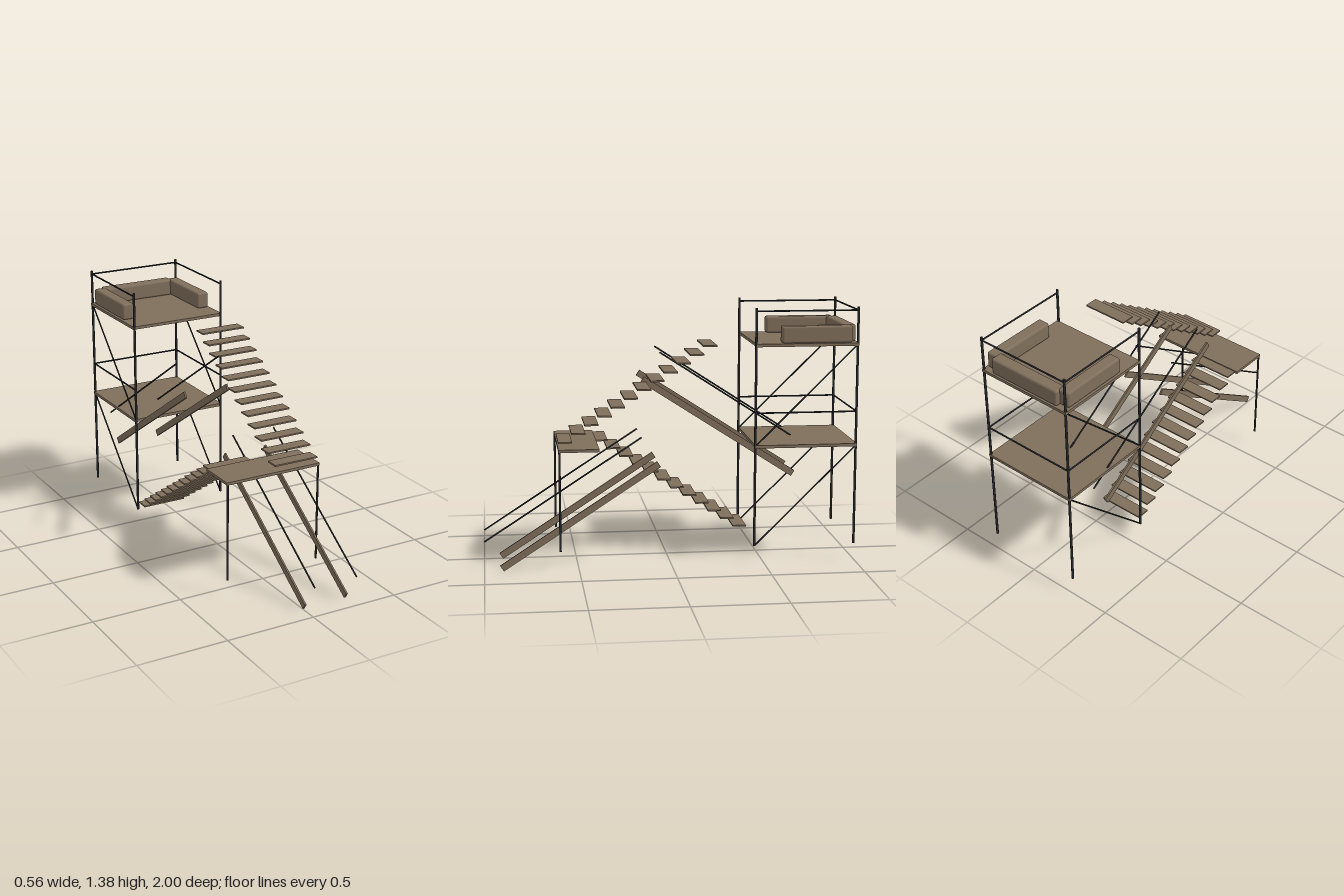
import * as THREE from 'three';
import { RoundedBoxGeometry } from 'three/addons/geometries/RoundedBoxGeometry.js';

export function createModel() {
  const model = new THREE.Group();
  model.name = 'scaffoldTower';

  const wood = new THREE.MeshStandardMaterial({ color: 0x7f6e5b });
  wood.name = 'brown wood';
  const steel = new THREE.MeshStandardMaterial({ color: 0x24272b });
  steel.name = 'dark steel';

  const addGroup = (name) => {
    const g = new THREE.Group();
    g.name = name;
    model.add(g);
    return g;
  };

  const add = (parent, name, geometry, material) => {
    const mesh = new THREE.Mesh(geometry, material);
    mesh.name = name;
    parent.add(mesh);
    return mesh;
  };

  // Box given by its extents along x, y and z
  const slab = (parent, name, [x0, x1], [y0, y1], [z0, z1], round = 0) => {
    const size = [x1 - x0, y1 - y0, z1 - z0];
    const geo = round ? new RoundedBoxGeometry(...size, 3, round) : new THREE.BoxGeometry(...size);
    add(parent, name, geo, wood).position.set((x0 + x1) / 2, (y0 + y1) / 2, (z0 + z1) / 2);
  };

  // Round steel tube between two points
  const pipe = (parent, name, a, b, radius) => {
    const from = new THREE.Vector3(...a);
    const to = new THREE.Vector3(...b);
    const dir = to.clone().sub(from);
    const mesh = add(parent, name, new THREE.CylinderGeometry(radius, radius, dir.length(), 10), steel);
    mesh.position.copy(from).add(to).multiplyScalar(0.5);
    mesh.quaternion.setFromUnitVectors(new THREE.Vector3(0, 1, 0), dir.normalize());
  };

  // Tower: posts, decks, rails and diagonal braces
  const tower = addGroup('tower');
  const xs = [-0.273, 0.27];
  const front = -0.445, back = -0.991;
  const deckX = [-0.28, 0.277];
  for (const x of xs) {
    for (const z of [front, back]) pipe(tower, 'post', [x, 0.1, z], [x, 1.385, z], 0.0068);
    for (const y of [0.825, 1.367]) pipe(tower, 'sideRail', [x, y, front], [x, y, back], 0.0045);
    for (const y of [0.1, 0.645]) pipe(tower, 'brace', [x, y, front], [x, y + 0.54, back], 0.0042);
  }
  for (const y of [0.825, 1.367]) pipe(tower, 'backRail', [xs[0], y, back], [xs[1], y, back], 0.0045);
  for (const y of [0.643, 1.186]) slab(tower, 'deck', deckX, [y - 0.008, y + 0.008], [-0.998, -0.446]);

  // Bench around three sides of the top deck
  const bench = addGroup('bench');
  const seatY = [1.194, 1.285];
  slab(bench, 'backCushion', [-0.217, 0.213], seatY, [-0.993, -0.925], 0.012);
  slab(bench, 'armCushion', [-0.272, -0.204], seatY, [-0.966, -0.586], 0.012);
  slab(bench, 'armCushion', [0.2, 0.268], seatY, [-0.966, -0.586], 0.012);

  // Landing with two front posts
  const landing = addGroup('landing');
  slab(landing, 'landingDeck', deckX, [0.636, 0.651], [0.386, 0.602]);
  for (const x of xs) pipe(landing, 'landingPost', [x, 0.1, 0.597], [x, 0.64, 0.597], 0.0058);

  // Two flights of twelve floating treads
  const flight = (name, xRange, z0, y0, rise) => {
    const g = addGroup(name);
    for (let i = 0; i < 12; i++) {
      const z = z0 - i * 0.0699, y = y0 + i * rise;
      slab(g, 'tread', xRange, [y - 0.004, y + 0.004], [z - 0.037, z + 0.037]);
    }
  };
  flight('lowerTreads', [-0.265, -0.011], 0.358, 0.642, -0.0456);
  flight('upperTreads', [0.005, 0.261], 0.566, 0.686, 0.0454);

  // Pairs of sloping stringers with handrails
  const slope = (name, sides, [z0, y0], [z1, y1], railStart, railEnd) => {
    const g = addGroup(name);
    const length = Math.hypot(z1 - z0, y1 - y0);
    for (const x of sides) {
      const beam = add(g, 'stringer', new THREE.BoxGeometry(0.01, 0.036, length), wood);
      beam.position.set(x, (y0 + y1) / 2, (z0 + z1) / 2);
      beam.rotation.x = Math.atan2(y1 - y0, z0 - z1);
      pipe(g, 'handrail', [x, railStart[1], railStart[0]], [x, railEnd[1], railEnd[0]], 0.0045);
    }
  };
  slope('lowerStringers', [0.006, 0.26], [0.908, 0.016], [0.07, 0.561], [0.998, 0.164], [0.162, 0.707]);
  slope('upperStringers', [-0.264, -0.011], [0.13, 0.975], [-0.707, 0.434], [0.035, 1.121], [-0.8, 0.579]);
  // Lower slope rises towards the tower, upper slope falls
  return model;
}
